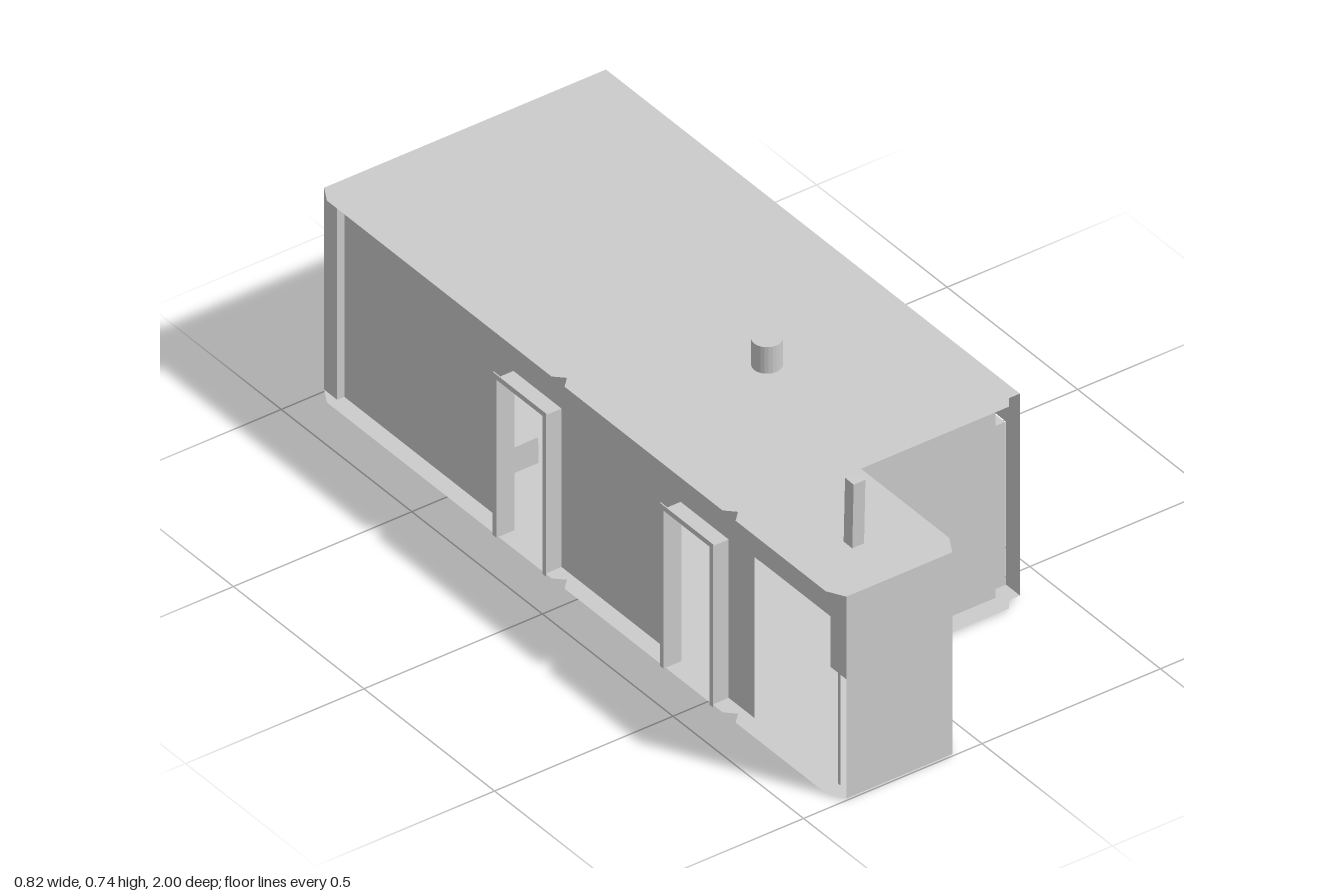
import * as THREE from 'three';

const FLOOR = 0.01, ROOF = 0.567;
const mat = new THREE.MeshStandardMaterial({ color: 0xcccccc, side: THREE.DoubleSide, flatShading: true });

export function createModel() {
  const model = new THREE.Group();
  const add = (name, geo, x = 0, y = 0, z = 0) => {
    const m = new THREE.Mesh(geo, mat);
    m.name = name;
    m.position.set(x, y, z);
    model.add(m);
    return m;
  };
  // box given by its limits on each axis
  const box = (name, x0, x1, y0, y1, z0, z1) =>
    add(name, new THREE.BoxGeometry(x1 - x0, y1 - y0, z1 - z0), (x0 + x1) / 2, (y0 + y1) / 2, (z0 + z1) / 2);
  const polygon = pts => new THREE.Shape(pts.map(p => new THREE.Vector2(...p)));

  // floor and roof share one notched outline (x, z)
  const outline = polygon([
    [-0.38, -1], [0.41, -1], [0.41, 0.585], [0.38, 0.585], [0.36, 0.612], [-0.055, 0.612],
    [-0.055, 0.95], [-0.083, 1], [-0.38, 1], [-0.405, 0.955],
    [-0.405, 0.61], [-0.38, 0.585], [-0.405, 0.56],
    [-0.405, -0.045], [-0.38, -0.07], [-0.405, -0.095], [-0.405, -0.955],
  ]);
  for (const [name, y] of [['floor', FLOOR], ['roof', ROOF]])
    add(name, new THREE.ShapeGeometry(outline).rotateX(Math.PI / 2), 0, y, 0);

  // thin side wall at a given x, with door openings [z0, z1, top]
  const sideWall = (name, x, z0, z1, doors) => {
    const pts = [[z0, FLOOR]];
    for (const [a, b, top] of doors) pts.push([a, FLOOR], [a, top], [b, top], [b, FLOOR]);
    pts.push([z1, FLOOR], [z1, ROOF], [z0, ROOF]);
    add(name, new THREE.ShapeGeometry(polygon(pts)).rotateY(-Math.PI / 2), x, 0, 0);
  };
  sideWall('leftSideWall', -0.36, -0.955, 0.95, [[-0.3, -0.12, 0.445], [0.34, 0.52, 0.445], [0.62, 0.94, 0.455]]);
  sideWall('rightSideWall', 0.41, -1, 0.585, [[0.335, 0.53, 0.46]]);
  sideWall('porchWall', -0.102, 0.56, 0.95, [[0.63, 0.93, 0.46]]);
  sideWall('cornerReturn', 0.36, 0.53, 0.56, []);

  // walls facing the front
  const frontWall = (name, x0, x1, z) =>
    add(name, new THREE.PlaneGeometry(x1 - x0, ROOF - FLOOR), (x0 + x1) / 2, (FLOOR + ROOF) / 2, z);
  frontWall('porchFrontWall', -0.38, -0.083, 1);
  frontWall('mainFrontWall', -0.102, 0.36, 0.56);

  // back wall with a large window and its reveal
  const back = polygon([[-0.38, FLOOR], [0.41, FLOOR], [0.41, ROOF], [-0.38, ROOF]]);
  back.holes.push(new THREE.Path([[-0.35, 0.045], [-0.35, 0.523], [0.355, 0.523], [0.355, 0.045]]
    .map(p => new THREE.Vector2(...p))));
  add('backWindowWall', new THREE.ExtrudeGeometry(back, { depth: 0.05, bevelEnabled: false }), 0, 0, -1);

  // U-shaped frame around a door: two uprights and a lintel
  const uFrame = (name, x0, x1, z0, z1, top, t) => {
    box(name + 'BackJamb', x0, x1, FLOOR, top, z0, z0 + t);
    box(name + 'FrontJamb', x0, x1, FLOOR, top, z1 - t, z1);
    box(name + 'Lintel', x0, x1, top - t, top, z0 + t, z1 - t);
  };
  // left doors: deep lining with a thin outer trim
  for (const [name, z] of [['rearLeftDoor', -0.21], ['frontLeftDoor', 0.43]]) {
    uFrame(name + 'Lining', -0.408, -0.36, z - 0.092, z + 0.092, 0.447, 0.004);
    uFrame(name + 'Trim', -0.411, -0.408, z - 0.102, z + 0.102, 0.46, 0.014);
  }
  uFrame('porchDoorLining', -0.102, -0.057, 0.626, 0.932, 0.462, 0.004);
  uFrame('porchDoorTrim', -0.057, -0.053, 0.618, 0.942, 0.474, 0.014);
  uFrame('rightDoorLining', 0.36, 0.407, 0.332, 0.532, 0.46, 0.01);

  // furniture
  box('bed', 0.004, 0.343, FLOOR, 0.17, -0.81, -0.33);
  box('nightstand', 0.11, 0.17, FLOOR, 0.17, -0.895, -0.82);
  box('table', 0.015, 0.135, 0.008, 0.15, 0.02, 0.13);
  box('cabinet', 0.12, 0.25, FLOOR, 0.12, 0.2, 0.32);
  box('stool', -0.3, -0.16, 0.006, 0.08, -0.63, -0.48).rotation.z = 0.02;

  // rooftop chimney and leaning post
  add('chimney', new THREE.CylinderGeometry(0.036, 0.036, 0.075, 24), 0.016, 0.6025, 0.155);
  add('roofPost', new THREE.BoxGeometry(0.033, 0.18, 0.033), -0.24, 0.656, 0.84).rotation.x = 0.03;
  return model;
}
